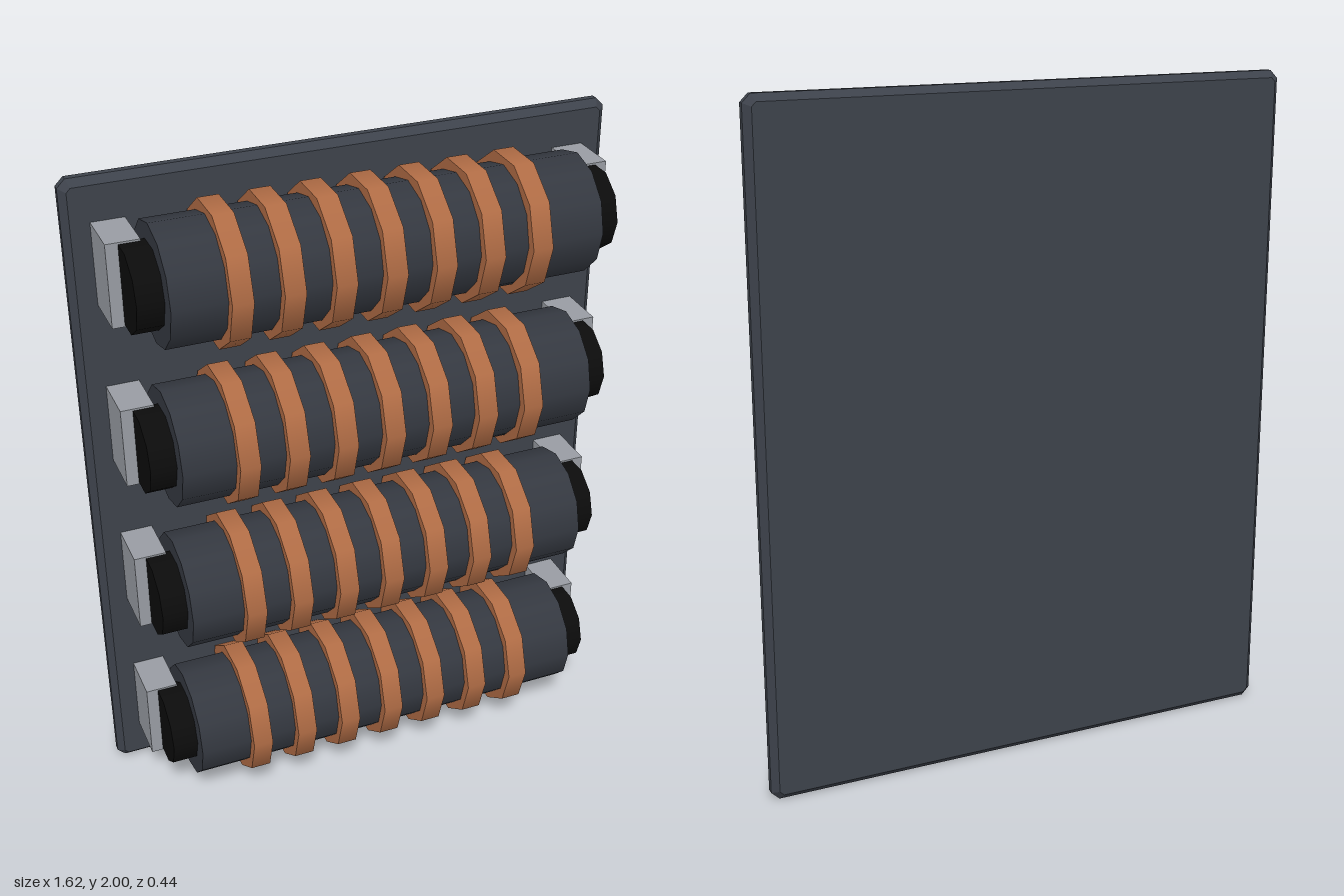
import * as THREE from 'three';

const paint = (color) => new THREE.MeshStandardMaterial({ color });
const plateMat = paint(0x3d424b);
const coreMat = paint(0x343840);
const copperMat = paint(0xb06c45);
const shaftMat = paint(0x0c0c0c);
const bracketMat = paint(0x989ca3);

const AXIS_Z = 0.015;

function part(name, geometry, material, x = 0, y = 0, z = 0) {
  const mesh = new THREE.Mesh(geometry, material);
  mesh.name = name;
  mesh.position.set(x, y, z);
  return mesh;
}

// Cylinder lying along x, with a vertex facing +z
const rod = (radius, length, sides) =>
  new THREE.CylinderGeometry(radius, radius, length, sides).rotateZ(Math.PI / 2);

// Upright plate with chamfered edges and clipped corners
function backPlate() {
  const bevel = 0.02, cut = 0.012, w = 0.81 - bevel, h = 1 - bevel;
  const shape = new THREE.Shape([
    [-w + cut, -h], [w - cut, -h], [w, -h + cut], [w, h - cut],
    [w - cut, h], [-w + cut, h], [-w, h - cut], [-w, -h + cut],
  ].map(([x, y]) => new THREE.Vector2(x, y)));
  const geometry = new THREE.ExtrudeGeometry(shape, {
    depth: 0.02, bevelEnabled: true, bevelSize: bevel, bevelThickness: bevel, bevelSegments: 1,
  });
  return part('backPlate', geometry, plateMat, 0, 1, -0.2);
}

// One wound coil: core, end shaft, copper bands and two mounting brackets
function coil() {
  const group = new THREE.Group();
  group.name = 'coil';
  group.add(part('core', rod(0.175, 1.25, 12), coreMat, 0, 0, AXIS_Z));
  group.add(part('shaft', rod(0.123, 1.4, 10), shaftMat, 0, 0, AXIS_Z));

  const band = rod(0.205, 0.06, 10);
  for (let i = 0; i < 7; i++) {
    group.add(part('copperBand', band, copperMat, -0.44 + i * 0.144, 0, AXIS_Z));
  }

  const bracket = new THREE.BoxGeometry(0.096, 0.245, 0.16);
  for (const side of [-1, 1]) {
    group.add(part('bracket', bracket, bracketMat, side * 0.687, 0, -0.09));
  }
  return group;
}

export function createModel() {
  const model = new THREE.Group();
  model.name = 'coilRack';
  model.add(backPlate());
  for (let i = 0; i < 4; i++) {
    const c = coil();
    c.position.y = 0.254 + i * 0.5;
    model.add(c);
  }
  return model;
}
